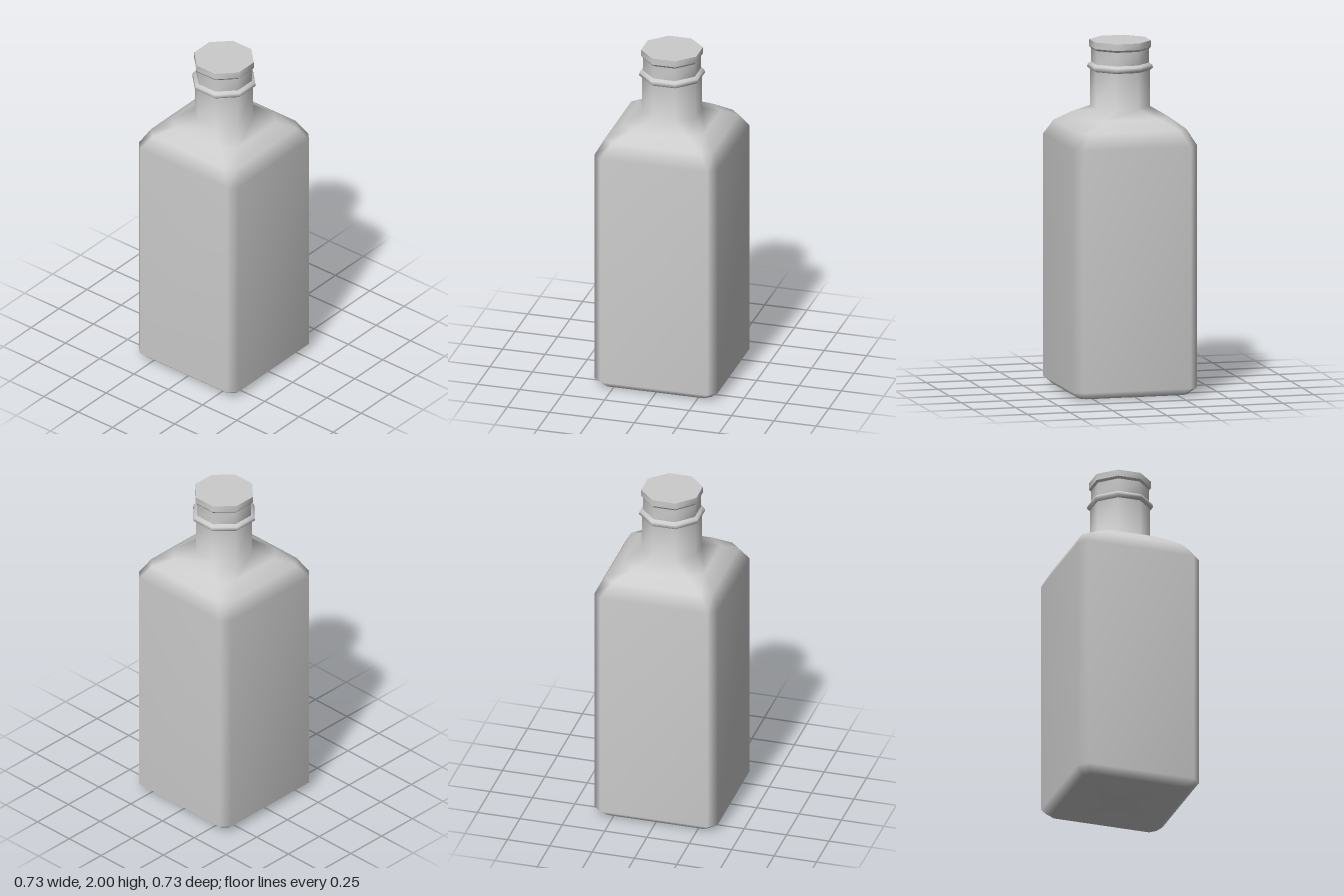
import * as THREE from 'three';

// Square section with cut corners: w = half width, h = half length of the flat side
const section = (w, h) => [[h, w], [w, h], [w, -h], [h, -w], [-h, -w], [-w, -h], [-w, h], [-h, w]];

// Lofts [y, w, h] levels; a repeated level makes a sharp edge. Ends may be closed.
function loft(name, levels, { bottom = false, top = false, sharpEnds = true } = {}) {
  const pos = [], idx = [];
  const addRing = ([y, w, h]) => {
    const start = pos.length / 3;
    section(w, h).forEach(([x, z]) => pos.push(x, y, z));
    return start;
  };
  const starts = levels.map(addRing);
  for (let i = 0; i < levels.length - 1; i++) {
    const same = levels[i].every((v, k) => v === levels[i + 1][k]);
    if (same) continue;
    for (let j = 0; j < 8; j++) {
      const k = (j + 1) % 8, a = starts[i], b = starts[i + 1];
      idx.push(a + j, a + k, b + k, a + j, b + k, b + j);
    }
  }
  const close = (level, ring, up) => {
    const s = sharpEnds ? addRing(level) : ring;
    const c = pos.length / 3;
    pos.push(0, level[0], 0);
    for (let j = 0; j < 8; j++) {
      const k = (j + 1) % 8;
      if (up) idx.push(c, s + j, s + k);
      else idx.push(c, s + k, s + j);
    }
  };
  if (bottom) close(levels[0], starts[0], false);
  if (top) close(levels.at(-1), starts.at(-1), true);

  const geometry = new THREE.BufferGeometry();
  geometry.setAttribute('position', new THREE.Float32BufferAttribute(pos, 3));
  geometry.setIndex(idx);
  geometry.computeVertexNormals();
  const mesh = new THREE.Mesh(geometry, new THREE.MeshStandardMaterial({ color: 0xcccccc }));
  mesh.name = name;
  return mesh;
}

export function createModel() {
  const group = new THREE.Group();
  group.name = 'bottle';

  // Square body, rounded shoulder and octagonal neck in one smooth skin
  group.add(loft('body', [
    [0, 0.318, 0.285],
    [0.042, 0.364, 0.317],
    [1.43, 0.364, 0.317],
    [1.515, 0.318, 0.262],
    [1.575, 0.24, 0.165],
    [1.622, 0.158, 0.066],
    [1.84, 0.158, 0.066],
  ], { bottom: true, sharpEnds: false }));

  // Raised collar around the neck
  group.add(loft('neckCollar', [
    [1.83, 0.158, 0.066],
    [1.843, 0.174, 0.071],
    [1.861, 0.17, 0.07],
    [1.874, 0.15, 0.062],
  ], { top: true }));

  // Stopper with a narrower skirt and a wider lip
  group.add(loft('cap', [
    [1.872, 0.153, 0.063],
    [1.95, 0.153, 0.063],
    [1.95, 0.153, 0.063],
    [1.962, 0.163, 0.067],
    [1.962, 0.163, 0.067],
    [2, 0.163, 0.067],
  ], { bottom: true, top: true }));

  return group;
}
